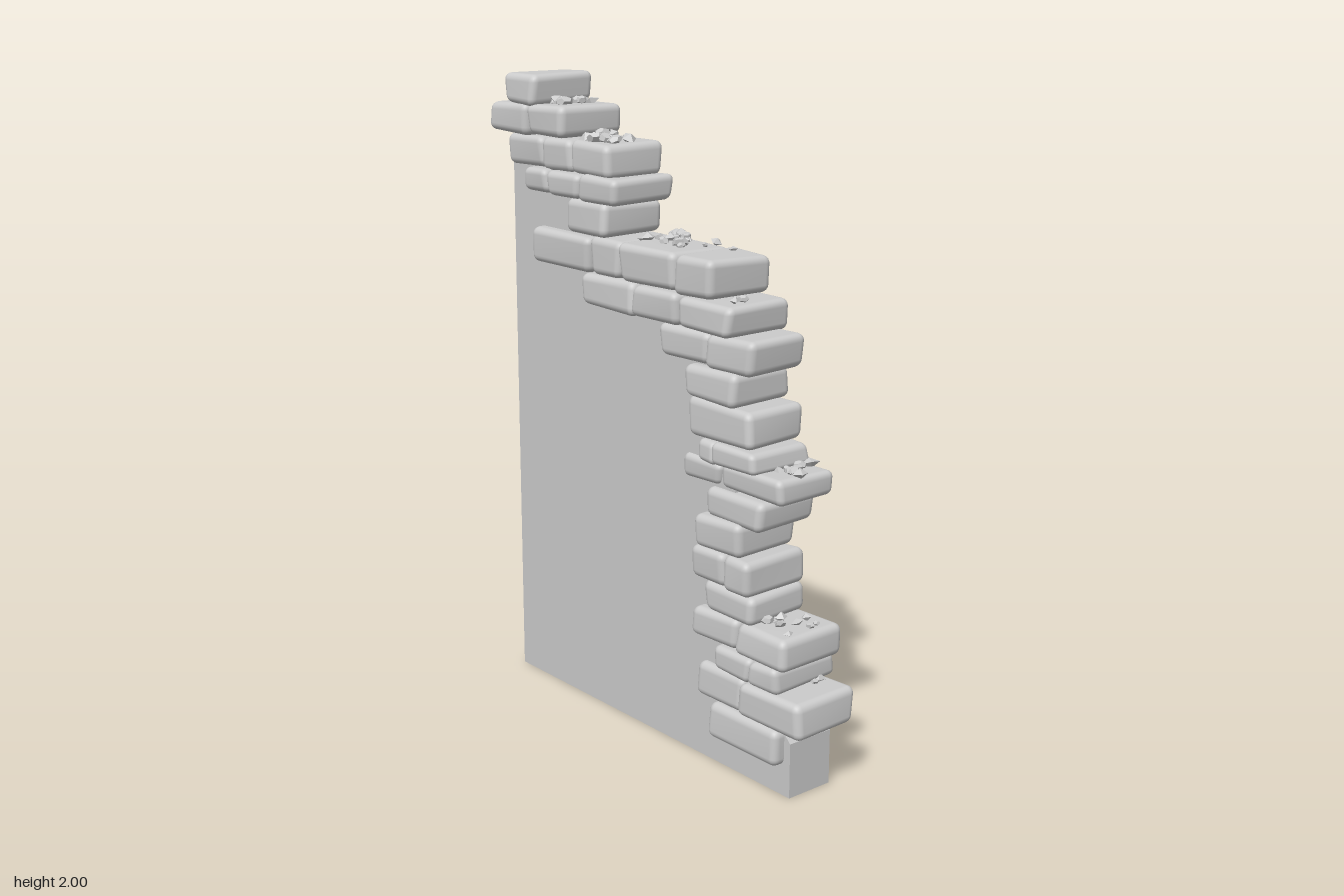
import * as THREE from 'three';
import { RoundedBoxGeometry } from 'three/addons/geometries/RoundedBoxGeometry.js';
import { mergeVertices } from 'three/addons/utils/BufferGeometryUtils.js';

const stone = new THREE.MeshStandardMaterial({ color: 0xcccccc });
const chipped = new THREE.MeshStandardMaterial({ color: 0xcccccc, flatShading: true });

// Small seeded generator, -1..1
let seed = 11;
const rnd = () => {
  seed = (seed * 16807) % 2147483647;
  return (seed / 2147483647) * 2 - 1;
};

// Courses from the ground up: [bottom, top, left x, right x, joints along z from front to back]
const courses = [
  [0.095, 0.205, -0.115, 0.115, [0.64, 0.345]],
  [0.205, 0.315, -0.12, 0.115, [0.728, 0.48, 0.275]],
  [0.318, 0.395, -0.122, 0.122, [0.635, 0.525, 0.36]],
  [0.395, 0.49, -0.117, 0.12, [0.67, 0.46, 0.265]],
  [0.49, 0.577, -0.107, 0.11, [0.522, 0.31]],
  [0.578, 0.682, -0.122, 0.115, [0.515, 0.405, 0.27]],
  [0.683, 0.785, -0.117, 0.11, [0.48, 0.278]],
  [0.78, 0.87, -0.107, 0.105, [0.555, 0.31]],
  [0.87, 0.945, -0.097, 0.115, [0.625, 0.365, 0.195]],
  [0.94, 1.01, -0.117, 0.115, [0.528, 0.355, 0.278]],
  [1.01, 1.122, -0.112, 0.11, [0.51, 0.235]],
  [1.124, 1.22, -0.117, 0.115, [0.442, 0.228]],
  [1.22, 1.32, -0.107, 0.108, [0.503, 0.31, 0.1]],
  [1.318, 1.415, -0.125, 0.12, [0.43, 0.205, -0.005, -0.255]],
  [1.415, 1.53, -0.117, 0.112, [0.353, 0.178, -0.075, -0.222, -0.515]],
  [1.533, 1.635, -0.117, 0.12, [-0.143, -0.333]],
  [1.635, 1.715, -0.122, 0.115, [-0.083, -0.265, -0.42, -0.547]],
  [1.71, 1.81, -0.107, 0.11, [-0.133, -0.325, -0.47, -0.665]],
  [1.81, 1.905, -0.122, 0.12, [-0.348, -0.525, -0.728]],
  [1.903, 2.0, -0.125, 0.12, [-0.483, -0.635]],
];

// Rounded block whose eight corners are nudged so it looks hand cut
function brickGeometry(w, h, d) {
  let g = new RoundedBoxGeometry(w, h, d, 3, Math.min(0.024, h * 0.28, d * 0.28));
  g.deleteAttribute('uv');
  g.deleteAttribute('normal');
  g = mergeVertices(g, 1e-5);
  const nudge = Array.from({ length: 8 }, () => [0.008 * rnd(), 0.006 * rnd(), 0.008 * rnd()]);
  const p = g.attributes.position;
  for (let i = 0; i < p.count; i++) {
    const v = [p.getX(i), p.getY(i), p.getZ(i)];
    const t = [v[0] / w + 0.5, v[1] / h + 0.5, v[2] / d + 0.5];
    nudge.forEach((n, c) => {
      const k = (c & 1 ? t[0] : 1 - t[0]) * (c & 2 ? t[1] : 1 - t[1]) * (c & 4 ? t[2] : 1 - t[2]);
      n.forEach((o, a) => { v[a] += o * k; });
    });
    p.setXYZ(i, ...v);
  }
  g.computeVertexNormals();
  return g;
}

// Plaster core, a flat slab whose broken edge runs inside the bricks: [z, y]
function buildCore() {
  const edge = [
    [-0.65, 0], [0.665, 0], [0.665, 0.17], [0.635, 0.2], [0.56, 0.25], [0.5, 0.44],
    [0.4, 0.53], [0.42, 0.82], [0.42, 0.9], [0.36, 1.16], [0.34, 1.28], [0.27, 1.46],
    [-0.2, 1.5], [-0.22, 1.6], [-0.28, 1.77], [-0.65, 1.77],
  ];
  const shape = new THREE.Shape(edge.map(([z, y]) => new THREE.Vector2(-z, y)));
  const g = new THREE.ExtrudeGeometry(shape, { depth: 0.16, bevelEnabled: false });
  g.rotateY(Math.PI / 2).translate(-0.08, 0, 0);
  const mesh = new THREE.Mesh(g, stone);
  mesh.name = 'wallCore';
  return mesh;
}

function buildBricks() {
  const group = new THREE.Group();
  group.name = 'bricks';
  courses.forEach(([y0, y1, x0, x1, joints], row) => {
    for (let i = 0; i < joints.length - 1; i++) {
      const z1 = joints[i], z0 = joints[i + 1];
      const inset = i ? 0.005 * rnd() : 0;
      const mesh = new THREE.Mesh(brickGeometry(x1 - x0 - 2 * Math.abs(inset), y1 - y0, z1 - z0), stone);
      mesh.position.set((x0 + x1) / 2 + inset, (y0 + y1) / 2, (z0 + z1) / 2);
      mesh.name = `brickCourse${row + 1}`;
      group.add(mesh);
    }
  });
  return group;
}

// Sharp broken chips lying on exposed brick tops: [y, centre x, centre z, half x, half z, count]
const piles = [
  [0.492, 0.0, 0.57, 0.075, 0.075, 11],
  [0.945, 0.02, 0.57, 0.07, 0.04, 8],
  [1.53, 0.035, 0.03, 0.065, 0.13, 18],
  [1.81, 0.0, -0.26, 0.07, 0.085, 15],
  [1.905, 0.0, -0.44, 0.065, 0.05, 10],
  [1.415, -0.045, 0.385, 0.02, 0.01, 2],
  [1.53, 0.055, 0.24, 0.005, 0.005, 1],
  [0.318, 0.06, 0.64, 0.04, 0.01, 2],
];

function buildRubble() {
  const group = new THREE.Group();
  group.name = 'rubble';
  for (const [y, cx, cz, hx, hz, count] of piles) {
    for (let i = 0; i < count; i++) {
      const r = 0.016 + 0.007 * rnd();
      const g = i % 2 ? new THREE.DodecahedronGeometry(r) : new THREE.OctahedronGeometry(r * 1.15);
      g.scale(1 + 0.3 * rnd(), 0.75, 1.2 + 0.3 * rnd());
      const chip = new THREE.Mesh(g, chipped);
      chip.position.set(cx + hx * rnd(), y + r * 0.5, cz + hz * rnd());
      chip.rotation.set(0.6 * rnd(), 3 * rnd(), 0.6 * rnd());
      chip.name = 'stoneChip';
      group.add(chip);
    }
  }
  return group;
}

export function createModel() {
  seed = 11;
  const model = new THREE.Group();
  model.name = 'brokenWall';
  model.add(buildCore(), buildBricks(), buildRubble());
  return model;
}
